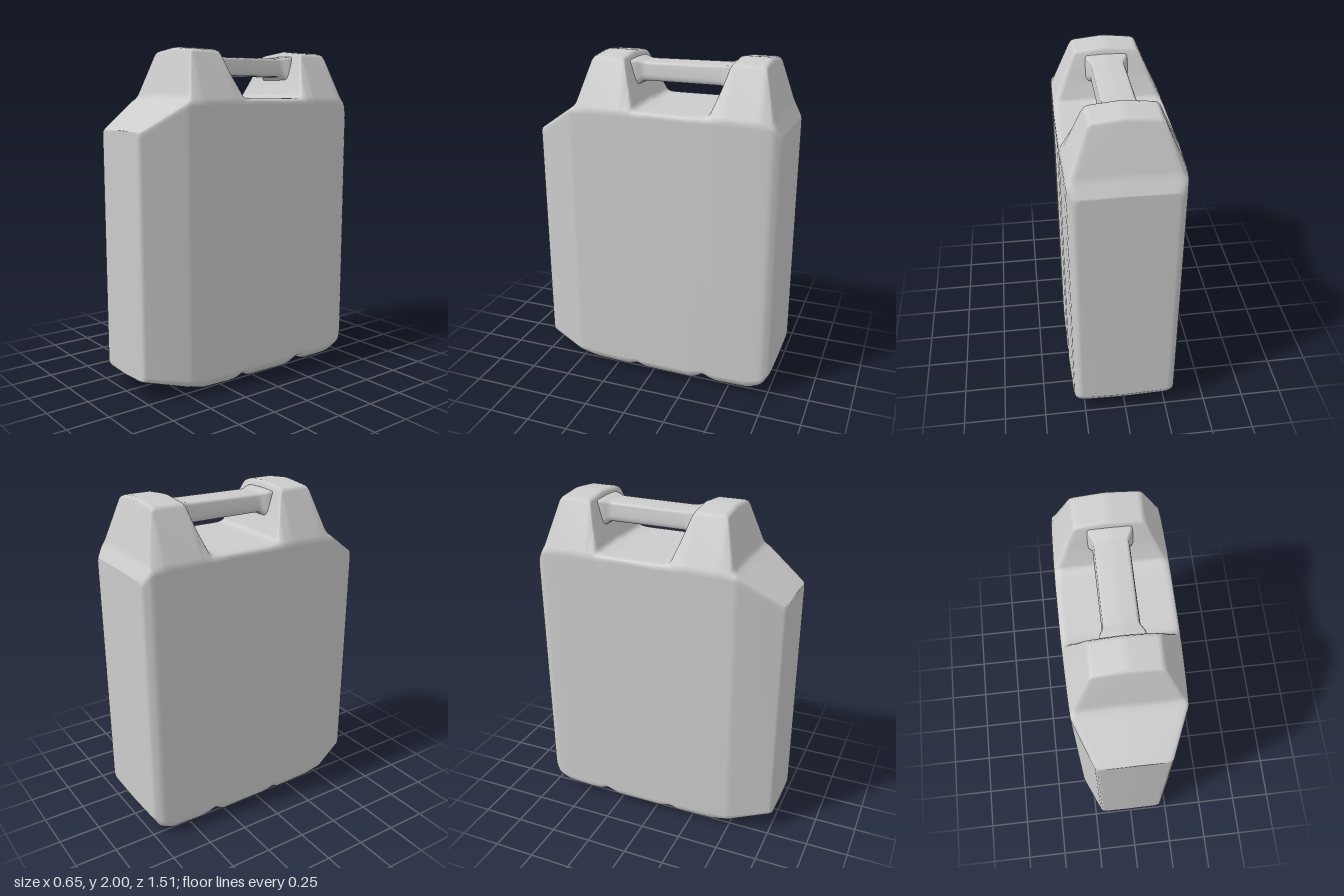
import * as THREE from 'three';
import { mergeVertices } from 'three/addons/utils/BufferGeometryUtils.js';

// Replace each corner of a polyline by a small three-point bevel.
function soften(pts, radius, closed) {
  const out = [], n = pts.length;
  pts.forEach((p, i) => {
    if (!closed && (i === 0 || i === n - 1)) return out.push(p);
    const toward = (q) => {
      const len = p.distanceTo(q);
      return len < 1e-6 ? p.clone() : p.clone().lerp(q, Math.min(radius / len, 0.35));
    };
    const a = toward(pts[(i + n - 1) % n]), b = toward(pts[(i + 1) % n]);
    const mid = a.clone().add(b).multiplyScalar(0.25).addScaledVector(p, 0.5);
    out.push(a, mid, b);
  });
  return out;
}

// Closed skin over rings running from front to back, with softened edges.
function loft(rings, radius) {
  const flat = (ring) => ring.map((p) => new THREE.Vector3(0, p.y, p.z));
  const all = [flat(rings[0]), ...rings, flat(rings[rings.length - 1])];
  const columns = all[0].map((_, j) => soften(all.map((r) => r[j]), radius, false));
  const rows = columns[0].map((_, i) => soften(columns.map((c) => c[i]), radius, true));
  const n = rows[0].length, index = [];
  for (let i = 0; i < rows.length - 1; i++) {
    for (let j = 0; j < n; j++) {
      const k = (j + 1) % n;
      const a = i * n + j, b = i * n + k, c = (i + 1) * n + k, d = (i + 1) * n + j;
      index.push(a, d, b, b, d, c);
    }
  }
  let geo = new THREE.BufferGeometry().setFromPoints(rows.flat());
  geo.setIndex(index);
  geo = mergeVertices(geo, 1e-5);
  geo.computeVertexNormals();
  return geo;
}

// Mirror the +x half of a section (listed bottom to top) into a full ring.
function ring(z, half) {
  const right = half.map(([x, y]) => new THREE.Vector3(x, y, z));
  const left = half.filter(([x]) => x > 0).reverse().map(([x, y]) => new THREE.Vector3(-x, y, z));
  return [...right, ...left];
}

export function createModel() {
  const group = new THREE.Group();
  const material = new THREE.MeshStandardMaterial({ color: 0xcccccc });
  const add = (name, geo) => {
    const mesh = new THREE.Mesh(geo, material);
    mesh.name = name;
    group.add(mesh);
  };

  // Canister: z, half width, bottom half width, bottom y, side foot y,
  // shoulder y, top half width, top edge y, top centre y
  const sections = [
    [0.757, 0.205, 0.19, 0.115, 0.125, 1.505, 0.195, 1.525, 1.53], // nose
    [0.5, 0.312, 0.28, 0.05, 0.08, 1.675, 0.295, 1.69, 1.695],
    [0.475, 0.314, 0.28, 0.045, 0.078, 1.68, 0.285, 1.71, 1.72],
    [0.395, 0.317, 0.275, 0.018, 0.07, 1.685, 0.185, 1.98, 2.0], // front tower
    [0.2, 0.322, 0.275, 0.012, 0.065, 1.69, 0.185, 1.98, 2.0],
    [0.15, 0.323, 0.275, 0.014, 0.065, 1.69, 0.245, 1.83, 1.835],
    [0.105, 0.324, 0.28, 0.045, 0.075, 1.69, 0.295, 1.71, 1.715], // first groove
    [0.05, 0.325, 0.275, 0.012, 0.065, 1.69, 0.3, 1.705, 1.705],
    [-0.27, 0.325, 0.275, 0.008, 0.065, 1.69, 0.3, 1.705, 1.705],
    [-0.345, 0.324, 0.28, 0.06, 0.085, 1.69, 0.295, 1.71, 1.715], // second groove
    [-0.39, 0.324, 0.275, 0.025, 0.07, 1.69, 0.245, 1.83, 1.835],
    [-0.435, 0.322, 0.275, 0.015, 0.065, 1.69, 0.188, 1.98, 2.0], // rear tower
    [-0.63, 0.317, 0.275, 0.018, 0.07, 1.685, 0.188, 1.98, 2.0],
    [-0.71, 0.312, 0.27, 0.055, 0.09, 1.675, 0.28, 1.7, 1.71],
    [-0.757, 0.28, 0.26, 0.135, 0.15, 1.6, 0.26, 1.62, 1.625], // back wall
  ];
  add('canisterBody', loft(sections.map(([z, w, wb, yb, foot, shoulder, wt, yt, yc]) => ring(z, [
    [0, yb - 0.008], [wb, yb], [w, foot], [w, shoulder], [wt, yt], [0, yc],
  ])), 0.022));

  // Carrying handle, flared where it joins the towers: z, half width, bottom y, top y
  const grip = [
    [0.23, 0.14, 1.79, 1.965], [0.165, 0.13, 1.8, 1.96], [0.12, 0.102, 1.838, 1.95],
    [-0.36, 0.102, 1.838, 1.955], [-0.405, 0.13, 1.8, 1.965], [-0.47, 0.14, 1.79, 1.97],
  ];
  add('handle', loft(grip.map(([z, w, y0, y1]) => ring(z, [
    [0, y0], [w * 0.9, y0], [w, y0 + 0.025], [w * 0.9, y1 - 0.005], [0, y1],
  ])), 0.015));

  return group;
}
